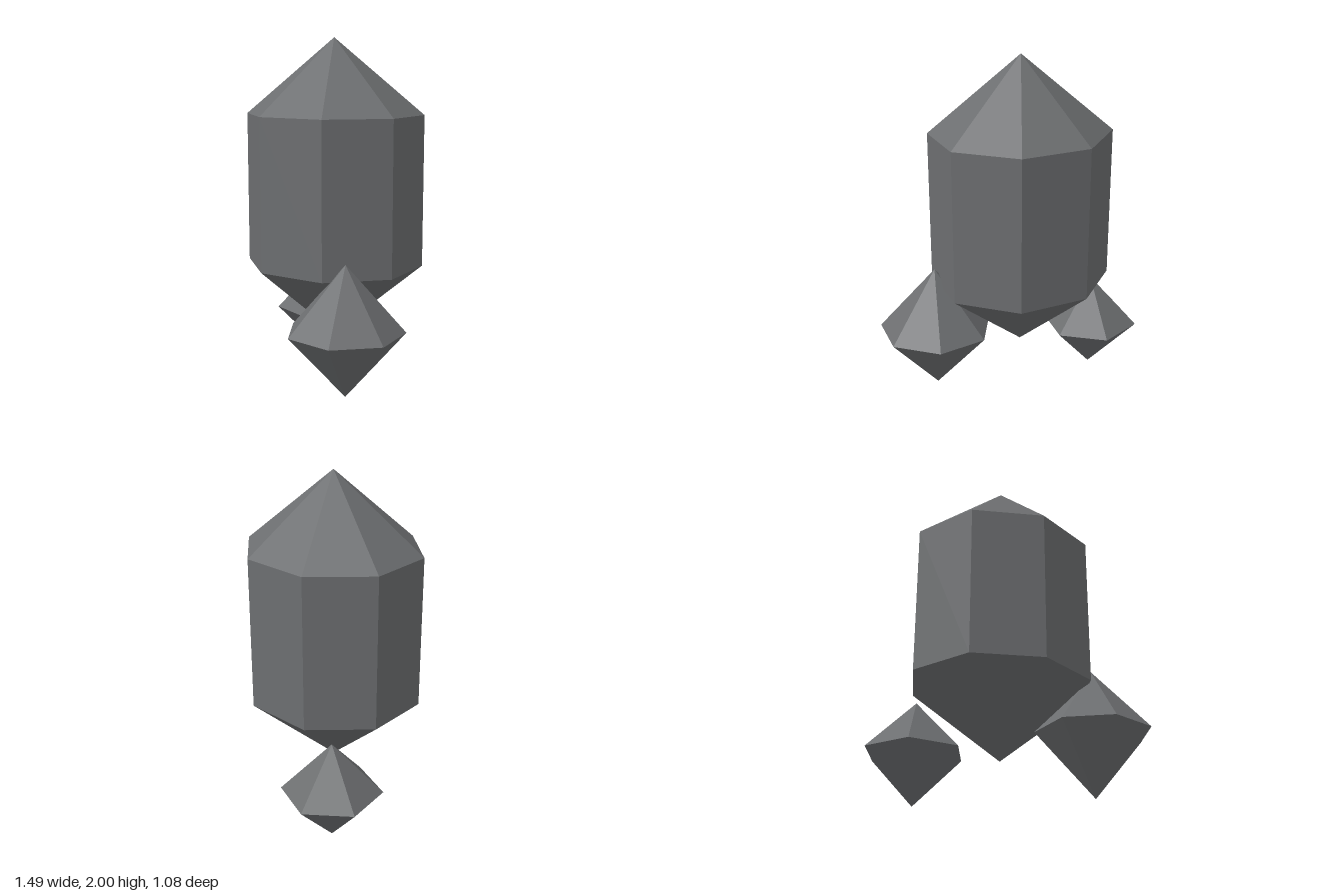
import * as THREE from 'three';

const stone = new THREE.MeshStandardMaterial({ color: 0x6c6e70, flatShading: true });
stone.name = 'grey stone';

// Faceted crystal: profile of [radius, y] from bottom tip to top tip, one corner on +x
function crystal(name, sides, profile, x, z, depthScale = 1) {
  const points = profile.map(([r, y]) => new THREE.Vector2(r, y));
  const mesh = new THREE.Mesh(new THREE.LatheGeometry(points, sides, Math.PI / 2), stone);
  mesh.name = name;
  mesh.position.set(x, 0, z);
  mesh.scale.z = depthScale;
  return mesh;
}

export function createModel() {
  const group = new THREE.Group();
  group.name = 'crystalCluster';
  group.add(
    // Tall eight-sided crystal with pointed ends, slightly flattened front to back
    crystal('mainCrystal', 8, [[0, 0.257], [0.54, 0.691], [0.54, 1.565], [0, 2]], -0.04, -0.037, 0.931),
    // Seven-sided double pyramid at the front left
    crystal('frontCrystal', 7, [[0, 0.05], [0.33, 0.421], [0, 0.792]], 0.415, 0.215),
    // Six-sided double pyramid at the back right
    crystal('backCrystal', 6, [[0, 0], [0.288, 0.294], [0, 0.587]], -0.46, -0.245)
  );
  return group;
}
